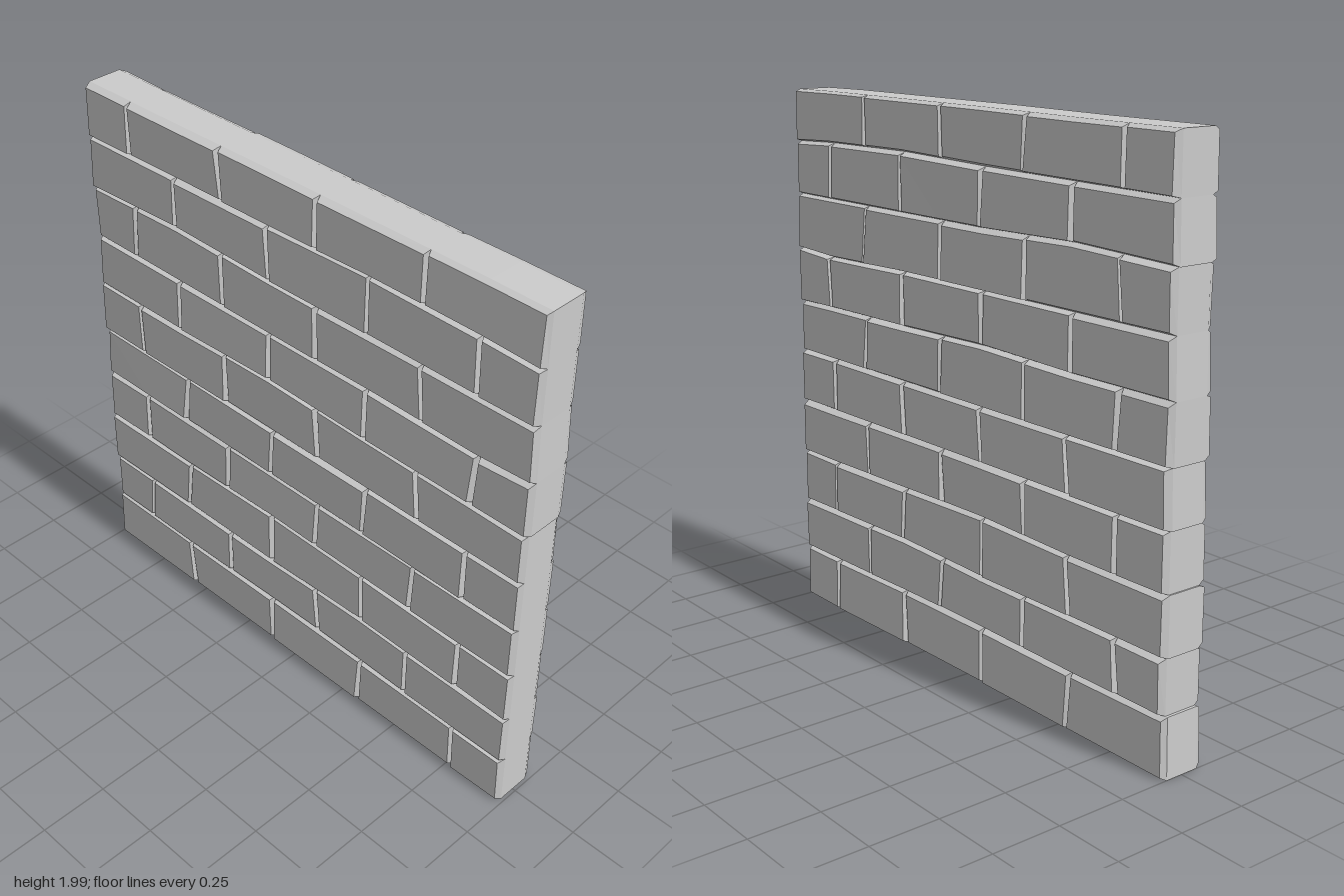
import * as THREE from 'three';

// Small seeded generator, returns -1..1
function seeded(seed) {
  let s = seed;
  return () => {
    s = (s * 16807) % 2147483647;
    return (s / 2147483647) * 2 - 1;
  };
}

// Height of each bed joint at the stations below
const stations = [-1, -0.55, -0.11, 0.33, 0.77, 1];
const beds = [
  [0, 0.004, 0.008, 0.008, 0.004, 0.004],
  [0.21, 0.21, 0.215, 0.215, 0.208, 0.205],
  [0.4, 0.4, 0.4, 0.412, 0.405, 0.4],
  [0.605, 0.605, 0.615, 0.607, 0.6, 0.6],
  [0.805, 0.805, 0.805, 0.803, 0.8, 0.8],
  [1, 1, 1, 1, 1, 1],
  [1.2, 1.2, 1.21, 1.2, 1.195, 1.19],
  [1.395, 1.395, 1.395, 1.395, 1.385, 1.395],
  [1.595, 1.61, 1.6, 1.6, 1.6, 1.6],
  [1.79, 1.795, 1.8, 1.81, 1.805, 1.795],
  [1.985, 1.985, 1.988, 1.988, 1.988, 1.985],
];

// Upright joints of each course: [x at bottom, x at top], ends included
const joints = [
  [[-1, -0.995], [-0.55, -0.565], [-0.11, -0.11], [0.33, 0.34], [0.77, 0.77], [0.99, 0.99]],
  [[-0.985, -0.985], [-0.785, -0.77], [-0.33, -0.33], [0.125, 0.11], [0.55, 0.55], [0.99, 0.99]],
  [[-0.99, -0.99], [-0.56, -0.54], [-0.11, -0.11], [0.34, 0.33], [0.77, 0.77], [0.99, 0.99]],
  [[-0.985, -0.985], [-0.77, -0.77], [-0.335, -0.33], [0.11, 0.118], [0.55, 0.56], [0.99, 0.99]],
  [[-0.99, -0.985], [-0.55, -0.53], [-0.11, -0.095], [0.33, 0.342], [0.77, 0.77], [0.99, 0.99]],
  [[-0.99, -0.99], [-0.76, -0.77], [-0.33, -0.33], [0.12, 0.11], [0.565, 0.55], [0.99, 0.99]],
  [[-0.99, -0.985], [-0.55, -0.55], [-0.11, -0.11], [0.33, 0.33], [0.775, 0.787], [0.995, 0.995]],
  [[-0.985, -0.985], [-0.775, -0.76], [-0.33, -0.33], [0.11, 0.11], [0.565, 0.55], [0.995, 0.99]],
  [[-0.99, -0.985], [-0.55, -0.55], [-0.1, -0.11], [0.33, 0.33], [0.77, 0.765], [0.99, 0.99]],
  [[-0.985, -0.985], [-0.77, -0.77], [-0.315, -0.33], [0.11, 0.11], [0.55, 0.55], [0.99, 0.99]],
];

function bedHeight(row, x) {
  let i = 0;
  while (i < stations.length - 2 && x > stations[i + 1]) i++;
  const t = (x - stations[i]) / (stations[i + 1] - stations[i]);
  return THREE.MathUtils.lerp(beds[row][i], beds[row][i + 1], t);
}

// Chamfered block through the wall, lofted over four outlines from back to front
function brickGeometry(row, left, right, rand) {
  const at = (bed, x) => [x, bedHeight(bed, x)];
  const outline = [
    at(row, left[0]), at(row, (left[0] + right[0]) / 2), at(row, right[0]),
    at(row + 1, right[1]), at(row + 1, (left[1] + right[1]) / 2), at(row + 1, left[1]),
  ];
  const sideX = [1, 0, -1, -1, 0, 1];
  const sideY = [1, 1, 1, -1, -1, -1];

  const face = (dir) => {
    const base = 0.088 + 0.003 * rand();
    const tiltX = 0.002 * rand();
    const tiltY = 0.003 * rand();
    const low = 0.009 + 0.002 * rand();
    const high = 0.012 + 0.004 * rand();
    const inX = 0.010 + 0.002 * rand();
    return outline.map(([x, y], i) => [
      x + sideX[i] * inX,
      y + (sideY[i] > 0 ? low : -high),
      dir * (base - sideX[i] * tiltX - sideY[i] * tiltY),
    ]);
  };
  const edge = (z) => outline.map(([x, y]) => [x, y, z]);
  const rings = [face(-1), edge(-0.064), edge(0.064), face(1)];

  const pos = [];
  const tri = (a, b, c) => pos.push(...a, ...b, ...c);
  for (let k = 0; k < 3; k++) {
    for (let i = 0; i < 6; i++) {
      const j = (i + 1) % 6;
      tri(rings[k][i], rings[k][j], rings[k + 1][j]);
      tri(rings[k][i], rings[k + 1][j], rings[k + 1][i]);
    }
  }
  for (let i = 2; i < 6; i++) {
    const j = (i + 1) % 6;
    tri(rings[3][1], rings[3][i], rings[3][j]);
    tri(rings[0][1], rings[0][j], rings[0][i]);
  }

  const geo = new THREE.BufferGeometry();
  geo.setAttribute('position', new THREE.Float32BufferAttribute(pos, 3));
  geo.computeVertexNormals();
  return geo;
}

export function createModel() {
  const wall = new THREE.Group();
  wall.name = 'brickWall';
  const material = new THREE.MeshStandardMaterial({ color: 0xcccccc, flatShading: true });
  const rand = seeded(4127);

  // Courses of bricks in running bond
  joints.forEach((row, r) => {
    const course = new THREE.Group();
    course.name = `course${r + 1}`;
    for (let i = 0; i < row.length - 1; i++) {
      const brick = new THREE.Mesh(brickGeometry(r, row[i], row[i + 1], rand), material);
      brick.name = `brick${i + 1}`;
      course.add(brick);
    }
    wall.add(course);
  });

  // Mortar core closing any hairline gaps between bricks
  const mortar = new THREE.Mesh(new THREE.BoxGeometry(1.95, 1.95, 0.12), material);
  mortar.name = 'mortarCore';
  mortar.position.y = 0.995;
  wall.add(mortar);

  return wall;
}
